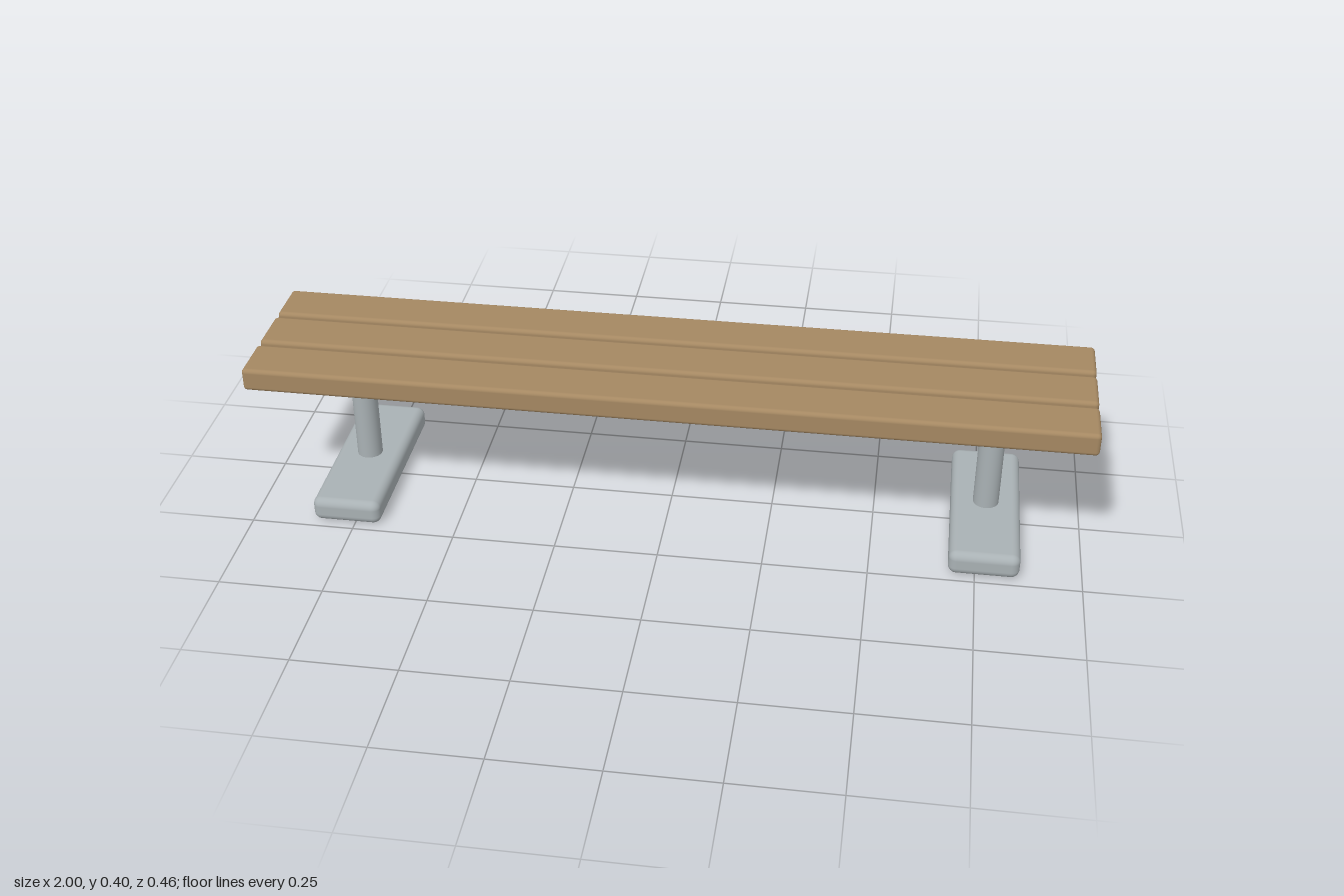
import * as THREE from 'three';
import { RoundedBoxGeometry } from 'three/addons/geometries/RoundedBoxGeometry.js';

export function createModel() {
  const wood = new THREE.MeshStandardMaterial({ color: 0xa58862 });
  const metal = new THREE.MeshStandardMaterial({ color: 0xa9b1b4 });
  const bench = new THREE.Group();
  bench.name = 'bench';

  const add = (name, geometry, material, x, y, z) => {
    const mesh = new THREE.Mesh(geometry, material);
    mesh.name = name;
    mesh.position.set(x, y, z);
    bench.add(mesh);
  };

  // Seat: three long planks with narrow gaps
  const plank = new RoundedBoxGeometry(2, 0.057, 0.123, 4, 0.01);
  [['frontPlank', 0.1385], ['middlePlank', 0], ['backPlank', -0.1385]].forEach(([name, z]) =>
    add(name, plank, wood, 0, 0.3705, z));

  // Supports: a round post on a flat rounded foot at each end
  const post = new THREE.CylinderGeometry(0.031, 0.031, 0.285, 32);
  const foot = new RoundedBoxGeometry(0.167, 0.061, 0.462, 5, 0.02);
  [['left', 1], ['right', -1]].forEach(([side, sign]) => {
    add(side + 'Post', post, metal, sign * 0.77, 0.1995, 0);
    add(side + 'Foot', foot, metal, sign * 0.77, 0.0305, 0);
  });

  return bench;
}
